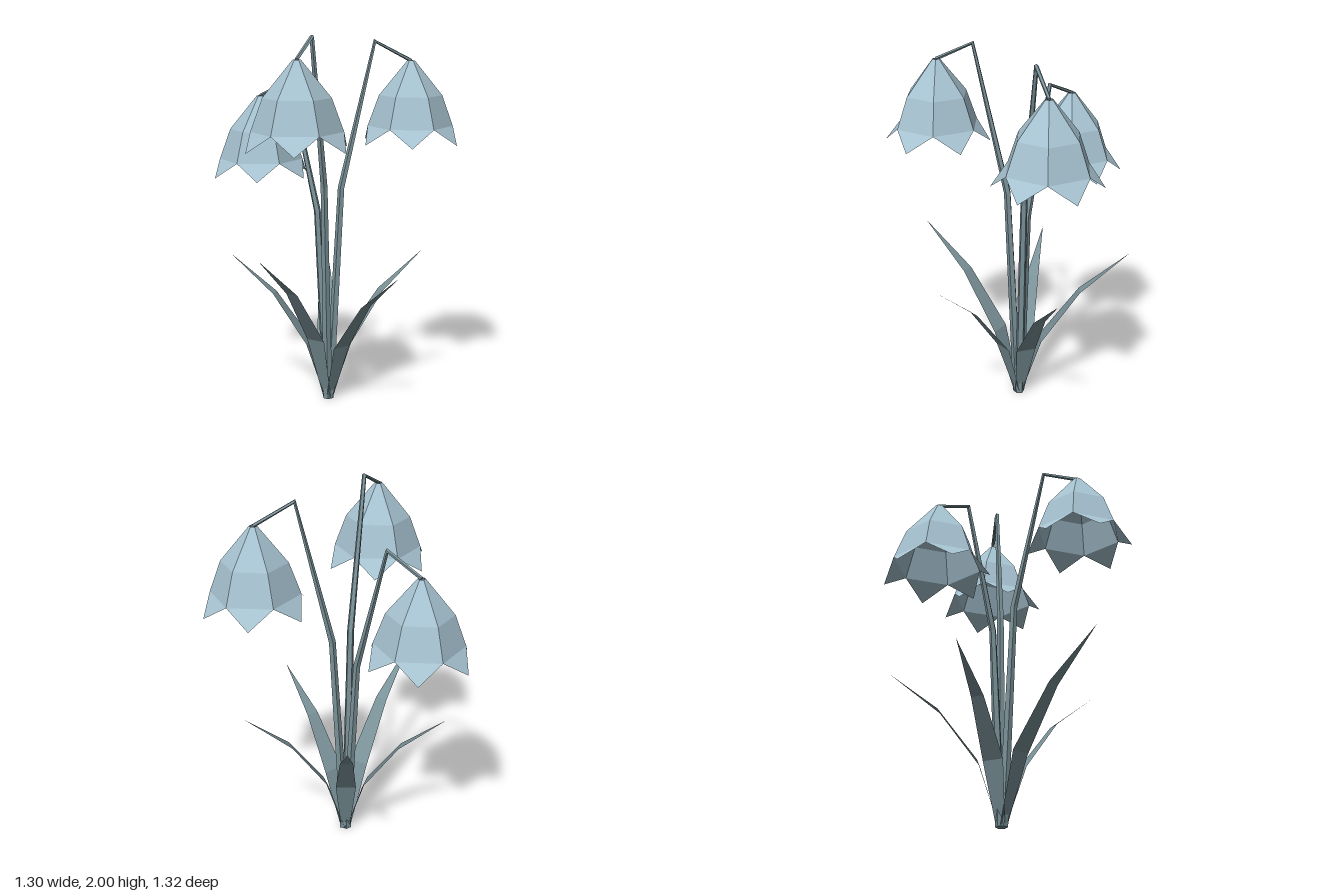
import * as THREE from 'three';

const V = (x, y, z) => new THREE.Vector3(x, y, z);
const BASE = V(-0.04, 0, -0.06);

// Flat-shaded geometry from a list of triangle corners
function fromTriangles(points) {
  const g = new THREE.BufferGeometry().setFromPoints(points);
  g.computeVertexNormals();
  return g;
}

// Faces joining consecutive rings of equal size
function joinRings(rings, closed = true) {
  const tris = [];
  for (let i = 0; i < rings.length - 1; i++) {
    const a = rings[i], b = rings[i + 1], n = a.length;
    for (let j = 0; j < (closed ? n : n - 1); j++) {
      const k = (j + 1) % n;
      tris.push(a[j], a[k], b[k], a[j], b[k], b[j]);
    }
  }
  return tris;
}

// Tapered stalk with mitred bends, lying in one vertical plane
function stalkGeometry(path, radii, sides = 5) {
  const end = path[path.length - 1];
  const side = V(end.z - path[0].z, 0, path[0].x - end.x).normalize();
  const rings = path.map((p, i) => {
    const t = V(0, 0, 0);
    if (i > 0) t.add(p.clone().sub(path[i - 1]).normalize());
    if (i < path.length - 1) t.add(path[i + 1].clone().sub(p).normalize());
    if (i === 0) t.set(0, 1, 0);
    t.normalize();
    const up = t.clone().cross(side);
    return Array.from({ length: sides }, (_, j) => {
      const a = (j / sides) * Math.PI * 2;
      return p.clone()
        .addScaledVector(side, radii[i] * Math.cos(a))
        .addScaledVector(up, radii[i] * Math.sin(a));
    });
  });
  const tris = joinRings(rings);
  for (let j = 1; j < sides - 1; j++) {
    tris.push(rings[0][0], rings[0][j + 1], rings[0][j]);
    const r = rings[rings.length - 1];
    tris.push(r[0], r[j], r[j + 1]);
  }
  return fromTriangles(tris);
}

// Six-sided bell with a flared pointed lobe on each side
function bellGeometry() {
  const at = (r, y, a) => V(r * Math.cos(a), y, r * Math.sin(a));
  const step = Math.PI / 3;
  const profile = [[0.02, 0], [0.17, -0.185], [0.23, -0.35]];
  const rings = profile.map(([r, y]) =>
    Array.from({ length: 6 }, (_, j) => at(r, y, j * step)));
  const tris = joinRings(rings);
  const rim = rings[2];
  for (let j = 0; j < 6; j++) {
    tris.push(rim[j], rim[(j + 1) % 6], at(0.28, -0.44, (j + 0.5) * step));
  }
  return fromTriangles(tris);
}

// Flat blade arching outward to a pointed tip
function leafGeometry(tip) {
  const dir = V(tip.x - BASE.x, 0, tip.z - BASE.z);
  const side = V(dir.z, 0, -dir.x).normalize();
  // distance outward, height, half width
  const sections = [[0.02, 0, 0.024], [0.2, 0.4, 0.055], [0.55, 0.74, 0.034]];
  const rows = sections.map(([out, h, w]) => {
    const c = BASE.clone().addScaledVector(dir, out).setY(h * tip.y);
    return [c.clone().addScaledVector(side, -w), c.clone().addScaledVector(side, w)];
  });
  const last = rows[rows.length - 1];
  return fromTriangles([...joinRings(rows, false), last[0], last[1], tip]);
}

export function createModel() {
  const model = new THREE.Group();
  model.name = 'bellFlowers';

  const petal = new THREE.MeshStandardMaterial({
    color: 0xa6c2d0, flatShading: true, side: THREE.DoubleSide });
  petal.name = 'pale blue petal';
  const green = new THREE.MeshStandardMaterial({
    color: 0x7a9299, flatShading: true, side: THREE.DoubleSide });
  green.name = 'grey green foliage';

  const add = (name, geometry, material, position) => {
    const mesh = new THREE.Mesh(geometry, material);
    mesh.name = name;
    if (position) mesh.position.copy(position);
    model.add(mesh);
  };

  // Stems: lower bend, top bend, point where the bell hangs
  const stems = {
    front: [V(-0.06, 1.2, 0.005), V(-0.115, 1.99, 0.185), V(-0.18, 1.89, 0.38)],
    left: [V(0.03, 1.18, -0.085), V(0.205, 1.955, -0.145), V(0.4, 1.85, -0.21)],
    right: [V(-0.1, 1.05, -0.1), V(-0.25, 1.74, -0.21), V(-0.42, 1.65, -0.33)],
  };
  const bell = bellGeometry();
  for (const [name, bends] of Object.entries(stems)) {
    const hang = bends[2];
    const foot = V(hang.x - BASE.x, 0, hang.z - BASE.z).setLength(0.008).add(BASE);
    add(name + 'Stem', stalkGeometry([foot, ...bends], [0.026, 0.019, 0.012, 0.01]), green);
    add(name + 'Bell', bell, petal, hang);
  }

  // Leaves fan out around the stems
  const leafTips = {
    backLeaf: V(-0.09, 0.85, -0.66),
    frontLeftLeaf: V(0.33, 0.8, 0.37),
    backLeftLeaf: V(0.48, 0.8, -0.27),
    backRightLeaf: V(-0.58, 0.79, -0.18),
    frontRightLeaf: V(-0.37, 0.91, 0.48),
  };
  for (const [name, tip] of Object.entries(leafTips)) {
    add(name, leafGeometry(tip), green);
  }
  return model;
}
